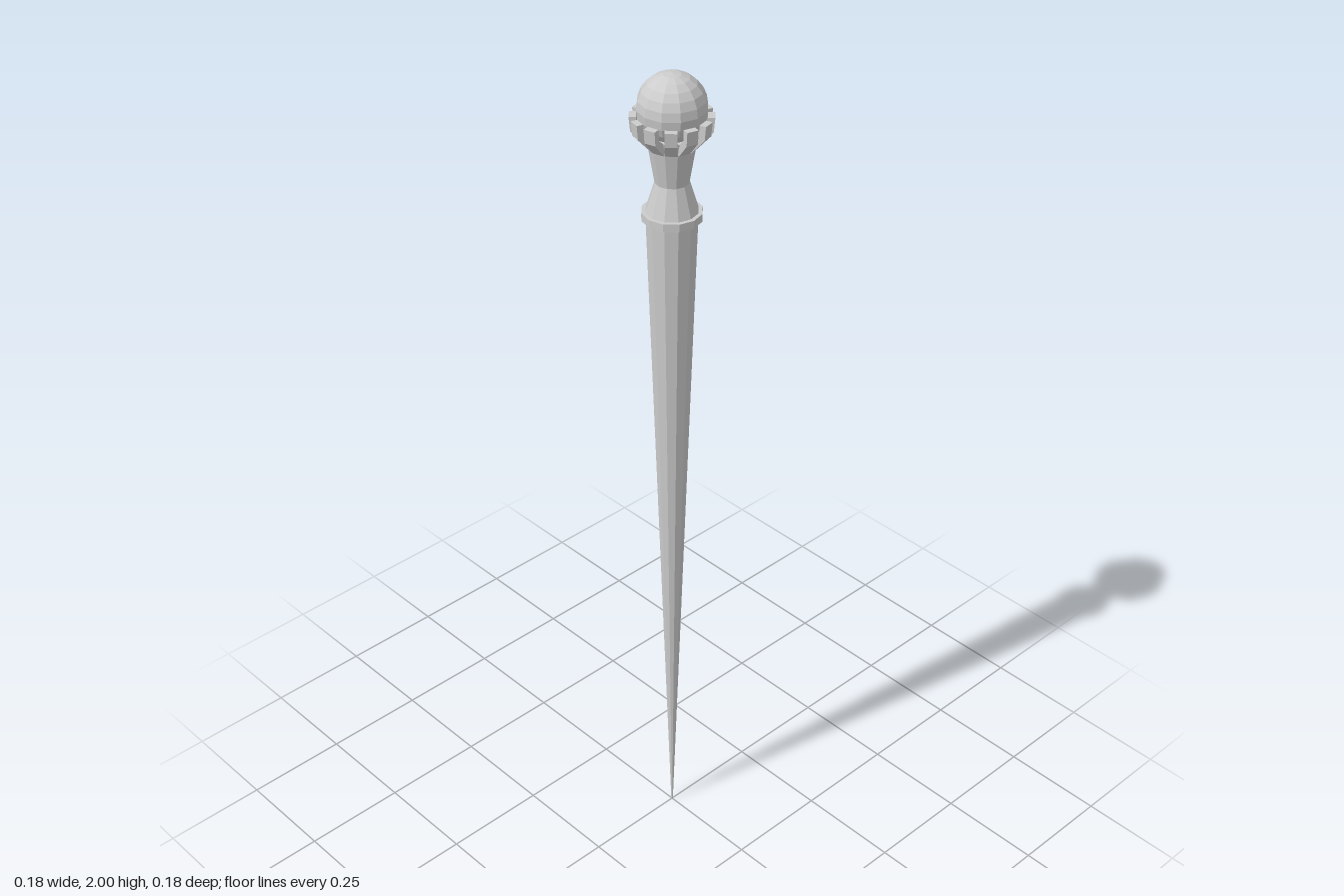
import * as THREE from 'three';

const SIDES = 12;

export function createModel() {
  const model = new THREE.Group();
  const material = new THREE.MeshStandardMaterial({ color: 0xcccccc, flatShading: true });

  const add = (name, geometry, parent = model) => {
    const mesh = new THREE.Mesh(geometry, material);
    mesh.name = name;
    parent.add(mesh);
    return mesh;
  };
  // Faceted turned part from [radius, y] pairs, bottom to top
  const turned = (name, profile) =>
    add(name, new THREE.LatheGeometry(profile.map(([r, y]) => new THREE.Vector2(r, y)), SIDES));

  // Long tapering spike
  turned('shaft', [[0, 0], [0.002, 0], [0.057, 1.675], [0, 1.675]]);

  // Thin ring between shaft and neck
  turned('collar', [[0, 1.672], [0.066, 1.672], [0.066, 1.69], [0, 1.69]]);

  // Waisted neck flaring into a cup
  turned('neck', [[0, 1.685], [0.057, 1.69], [0.037, 1.757], [0.053, 1.852], [0.058, 1.868], [0, 1.868]]);

  // Ball held in the claws
  const ball = add('ball', new THREE.SphereGeometry(0.075, SIDES, 12));
  ball.position.y = 1.925;

  // Ring of bent claws; profile in [radius, y]
  const claws = new THREE.Group();
  claws.name = 'claws';
  model.add(claws);
  const outline = [[0.045, 1.845], [0.053, 1.84], [0.085, 1.876], [0.088, 1.908], [0.073, 1.908], [0.071, 1.882], [0.045, 1.86]];
  const width = 0.026;
  const clawGeometry = new THREE.ExtrudeGeometry(
    new THREE.Shape(outline.map(([r, y]) => new THREE.Vector2(r, y))),
    { depth: width, bevelEnabled: false }
  );
  clawGeometry.translate(0, 0, -width / 2);
  for (let i = 0; i < SIDES; i++) {
    add('claw', clawGeometry, claws).rotation.y = ((i + 0.5) / SIDES) * Math.PI * 2;
  }

  return model;
}
